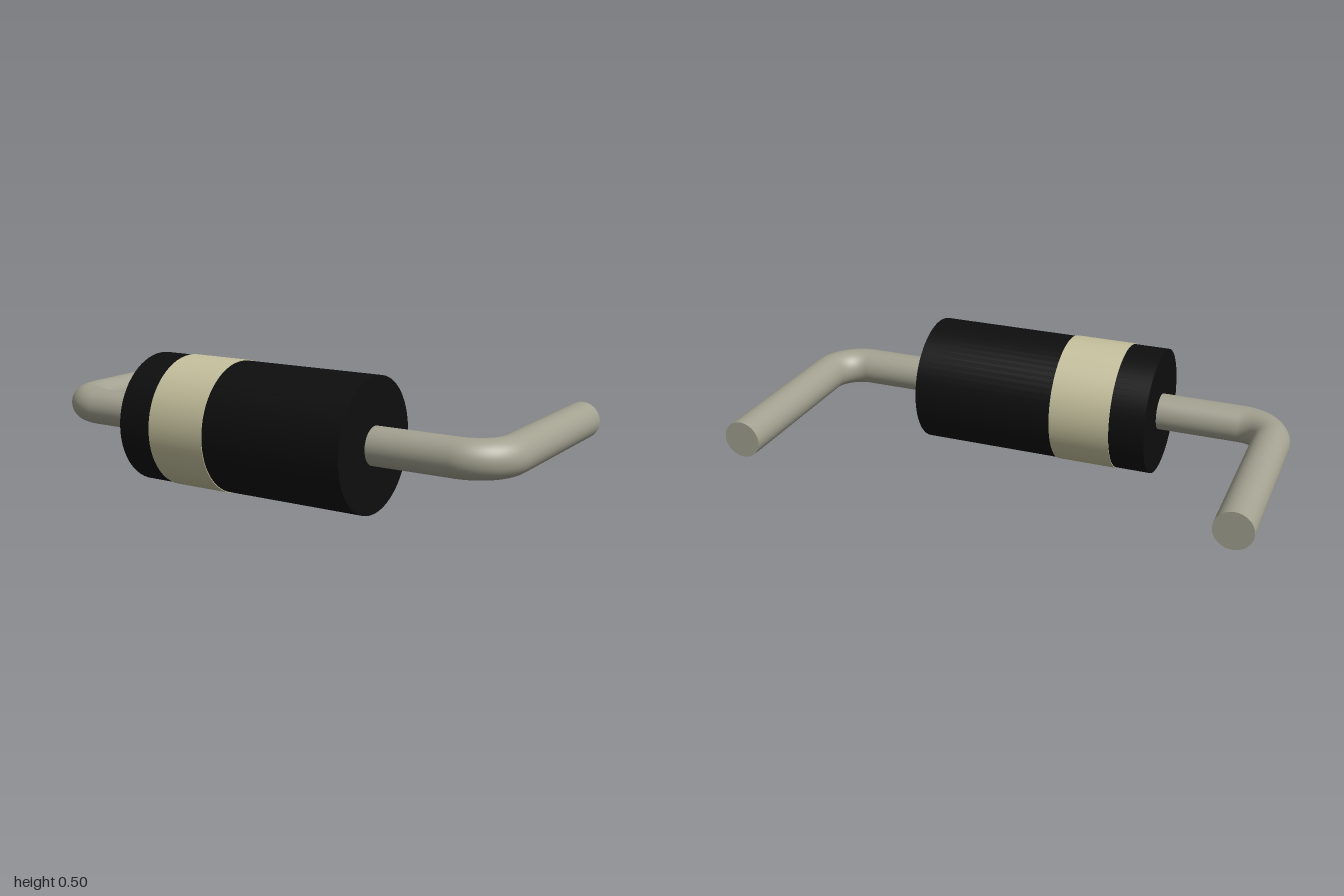
import * as THREE from 'three';

const AXIS_Y = 0.25, AXIS_Z = 0.273;   // axis of the body
const WIRE_R = 0.071, BEND_R = 0.141;  // lead thickness and bend radius
const LEAD_X = 0.929, BACK_Z = -0.523; // centre line and tip of the bent leads

export function createModel() {
  const model = new THREE.Group();
  const black = new THREE.MeshStandardMaterial({ color: 0x0e0e0e });
  black.name = 'blackCasing';
  const cream = new THREE.MeshStandardMaterial({ color: 0xc6c19e });
  cream.name = 'creamBand';
  const metal = new THREE.MeshStandardMaterial({ color: 0xa3a291 });
  metal.name = 'dullMetal';

  const add = (parent, name, geometry, material, x, y, z) => {
    const mesh = new THREE.Mesh(geometry, material);
    mesh.name = name;
    mesh.position.set(x, y, z);
    parent.add(mesh);
  };
  const rodX = (radius, length, open = false) =>
    new THREE.CylinderGeometry(radius, radius, length, 64, 1, open).rotateZ(Math.PI / 2);

  // Cylindrical casing with a thin painted band
  add(model, 'casing', rodX(0.247, 0.945), black, 0, AXIS_Y, AXIS_Z);
  add(model, 'polarityBand', rodX(0.25, 0.24), cream, -0.214, AXIS_Y, AXIS_Z);

  // Wire leads: out along the axis, round a quarter bend, then straight back
  const bendX = LEAD_X - BEND_R, bendZ = AXIS_Z - BEND_R;
  for (const side of [1, -1]) {
    const lead = new THREE.Group();
    lead.name = side > 0 ? 'leftLead' : 'rightLead';

    const start = 0.45;
    add(lead, 'axialWire', rodX(WIRE_R, bendX - start, true), metal,
      side * (start + bendX) / 2, AXIS_Y, AXIS_Z);

    const bend = new THREE.TorusGeometry(BEND_R, WIRE_R, 64, 24, Math.PI / 2).rotateX(Math.PI / 2);
    if (side < 0) bend.rotateY(-Math.PI / 2);
    add(lead, 'wireBend', bend, metal, side * bendX, AXIS_Y, bendZ);

    const leg = new THREE.CylinderGeometry(WIRE_R, WIRE_R, bendZ - BACK_Z, 64).rotateX(Math.PI / 2);
    add(lead, 'backWire', leg, metal, side * LEAD_X, AXIS_Y, (bendZ + BACK_Z) / 2);

    model.add(lead);
  }
  return model;
}
